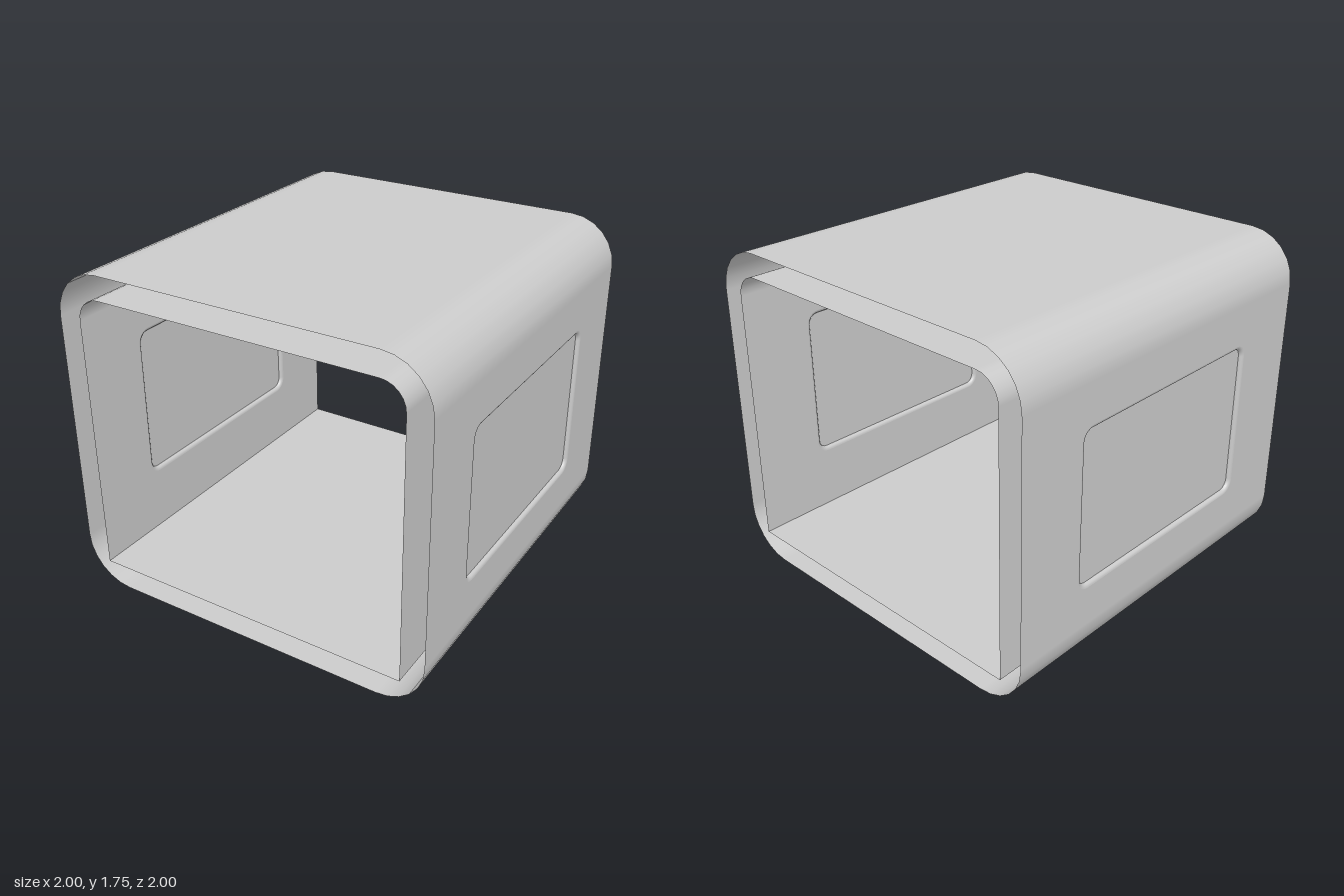
import * as THREE from 'three';

const W = 1, H = 1.75, D = 1, R = 0.25, T = 0.125; // half width, height, half depth, corner radius, wall gap
const MID = H / 2, FILLET = 0.02;
const material = new THREE.MeshStandardMaterial({ color: 0xcccccc, side: THREE.DoubleSide });

function add(parent, name, geometry) {
  const mesh = new THREE.Mesh(geometry, material);
  mesh.name = name;
  parent.add(mesh);
  return mesh;
}

function build(positions, index, normals) {
  const g = new THREE.BufferGeometry();
  g.setAttribute('position', new THREE.Float32BufferAttribute(positions, 3));
  g.setIndex(index);
  if (normals) g.setAttribute('normal', new THREE.Float32BufferAttribute(normals, 3));
  else g.computeVertexNormals();
  return g;
}

// Points [x, y, nx, ny] of a quarter arc
function arc(cx, cy, r, start, n = 6) {
  return Array.from({ length: n + 1 }, (_, i) => {
    const a = start + (Math.PI / 2) * (i / n), c = Math.cos(a), s = Math.sin(a);
    return [cx + r * c, cy + r * s, c, s];
  });
}

// Sheet running front to back along a profile; inward turns its face round
function sheet(profile, inward = false) {
  const pts = inward ? profile.slice().reverse() : profile;
  const f = inward ? -1 : 1, pos = [], nor = [], idx = [];
  pts.forEach(([x, y, nx, ny], i) => {
    pos.push(x, y, D, x, y, -D);
    nor.push(f * nx, f * ny, 0, f * nx, f * ny, 0);
    if (i) {
      const a = 2 * i - 2;
      idx.push(a, a + 1, a + 2, a + 2, a + 1, a + 3);
    }
  });
  return build(pos, idx, nor);
}

// Rounded window outline, grown by an offset
function outline(grow) {
  const hw = 0.6, hh = 0.4, r = 0.05;
  return [[1, 1], [-1, 1], [-1, -1], [1, -1]].flatMap(([sx, sy], k) =>
    arc(sx * (hw - r), MID + sy * (hh - r), r + grow, (k * Math.PI) / 2)
      .map(([x, y]) => new THREE.Vector2(x, y)));
}

// Flat wall with the window hole cut out
function wall(bottom, top) {
  const s = new THREE.Shape([[-D, bottom], [D, bottom], [D, top], [-D, top]].map(p => new THREE.Vector2(...p)));
  s.holes.push(new THREE.Path(outline(FILLET).reverse()));
  return new THREE.ShapeGeometry(s);
}

// Window lining, flared by a fillet at both ends
function lining() {
  const rows = [], steps = 5, pos = [], idx = [];
  for (let i = 0; i <= steps; i++) {
    const a = (Math.PI / 2) * (i / steps);
    rows.push([W - FILLET * Math.sin(a), FILLET * (1 - Math.cos(Math.PI / 2 - a))]);
  }
  // Start on the wall face, end on the straight part, then mirror
  rows.forEach((r, i) => {
    const a = (Math.PI / 2) * (i / steps);
    r[0] = W - FILLET * (1 - Math.cos(a));
    r[1] = FILLET * (1 - Math.sin(a));
  });
  const all = rows.concat(rows.slice().reverse().map(([x, g]) => [2 * W - T - x, g]));
  all.forEach(([x, grow], i) => {
    const ring = outline(grow), n = ring.length;
    ring.forEach((p, j) => {
      pos.push(p.x, p.y, x);
      if (i) {
        const a = (i - 1) * n + j, b = (i - 1) * n + (j + 1) % n;
        idx.push(a, b, a + n, b, b + n, a + n);
      }
    });
  });
  return build(pos, idx);
}

export function createModel() {
  const model = new THREE.Group();
  model.name = 'openSleeve';

  // Outer skin: roof and base with rounded corners
  add(model, 'outerRoof', sheet([...arc(W - R, H - R, R, 0), ...arc(R - W, H - R, R, Math.PI / 2)]));
  add(model, 'outerBase', sheet([...arc(R - W, R, R, Math.PI), ...arc(W - R, R, R, 1.5 * Math.PI)]));

  // Inner skin: rounded ceiling and square-cornered floor
  add(model, 'innerCeiling', sheet([...arc(W - R, H - R, R - T, 0), ...arc(R - W, H - R, R - T, Math.PI / 2)], true));
  add(model, 'innerFloor', sheet([[W - T, T, 0, 1], [T - W, T, 0, 1]]));

  // Side walls with their windows, alike on both sides
  for (const side of ['left', 'right']) {
    const group = new THREE.Group();
    group.name = side + 'Side';
    group.rotation.y = side === 'left' ? Math.PI / 2 : -Math.PI / 2;
    add(group, 'outerWall', wall(R, H - R)).position.z = W;
    const inner = add(group, 'innerWall', wall(T, H - R));
    inner.rotation.y = Math.PI;
    inner.position.z = W - T;
    add(group, 'windowLining', lining());
    const pane = new THREE.ShapeGeometry(new THREE.Shape(outline(0)));
    add(group, 'outerPane', pane).position.z = W - FILLET;
    const innerPane = add(group, 'innerPane', pane);
    innerPane.rotation.y = Math.PI;
    innerPane.position.z = W - T + FILLET;
    model.add(group);
  }
  return model;
}
